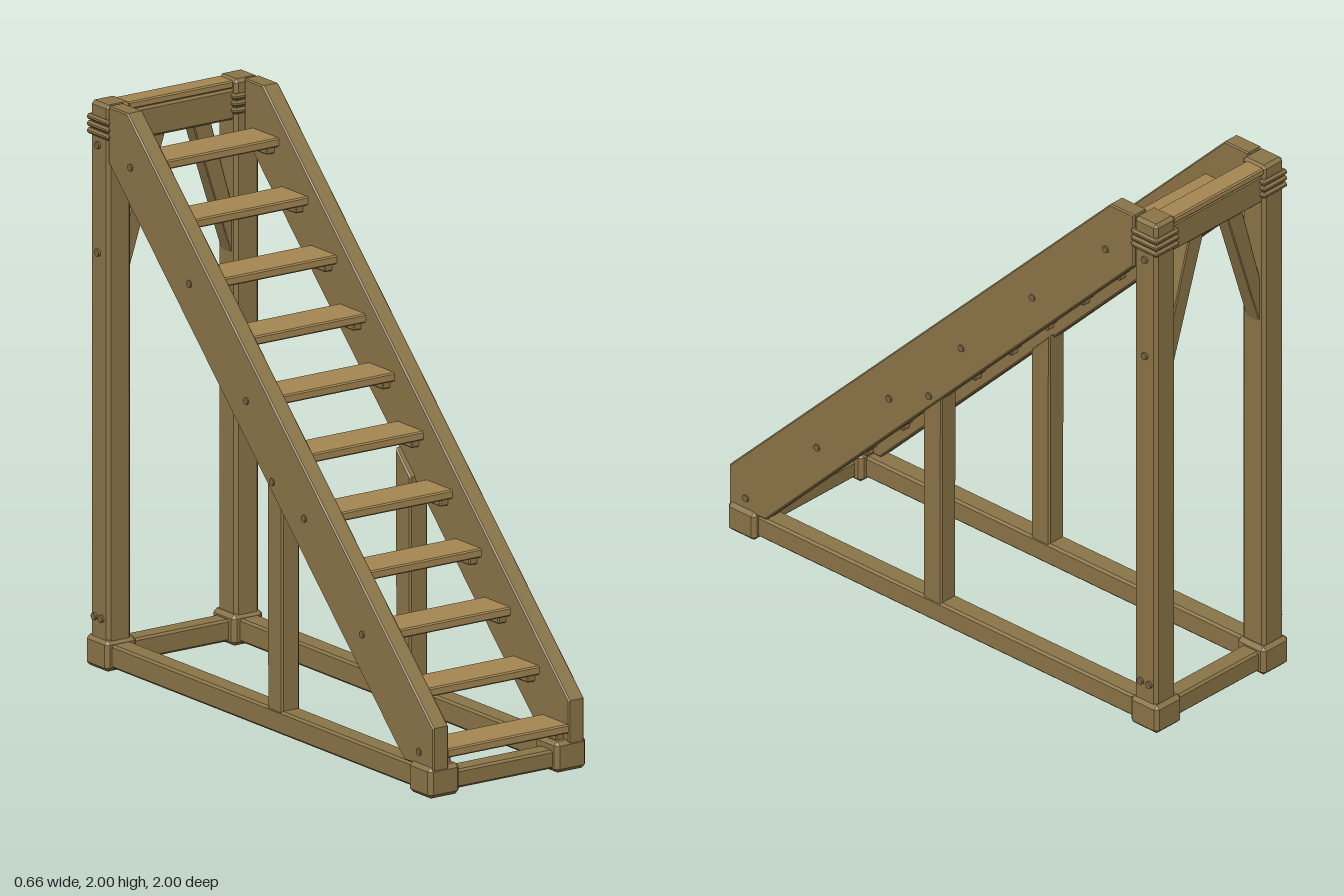
import * as THREE from 'three';
import { ConvexGeometry } from 'three/addons/geometries/ConvexGeometry.js';

// Box with all edges chamfered by c: each corner gives three points
function chamferBox(w, h, d, c) {
  const points = [];
  for (const sx of [-1, 1]) for (const sy of [-1, 1]) for (const sz of [-1, 1]) {
    const x = w / 2, y = h / 2, z = d / 2;
    points.push(
      new THREE.Vector3(sx * x, sy * (y - c), sz * (z - c)),
      new THREE.Vector3(sx * (x - c), sy * y, sz * (z - c)),
      new THREE.Vector3(sx * (x - c), sy * (y - c), sz * z));
  }
  return new ConvexGeometry(points);
}

// Bevelled slab from an outline, centred on its thickness
function slab(outline, thickness, bevel) {
  const shape = new THREE.Shape(outline.map(p => new THREE.Vector2(p[0], p[1])));
  const geometry = new THREE.ExtrudeGeometry(shape, {
    depth: thickness - 2 * bevel, bevelEnabled: true, bevelSegments: 1,
    bevelThickness: bevel, bevelSize: bevel, bevelOffset: -bevel });
  return geometry.translate(0, 0, -(thickness - 2 * bevel) / 2);
}

export function createModel() {
  const model = new THREE.Group();
  model.name = 'staircase';
  const frameWood = new THREE.MeshStandardMaterial({ color: 0x8b7548 });
  frameWood.name = 'frame wood';
  const treadWood = new THREE.MeshStandardMaterial({ color: 0xa58752 });
  treadWood.name = 'tread wood';
  const pegWood = new THREE.MeshStandardMaterial({ color: 0x7a6640 });
  pegWood.name = 'peg wood';

  function add(name, geometry, material, x = 0, y = 0, z = 0) {
    const mesh = new THREE.Mesh(geometry, material);
    mesh.name = name;
    mesh.position.set(x, y, z);
    model.add(mesh);
    return mesh;
  }
  // Chamfered box given by its limits
  function bar(name, x0, x1, y0, y1, z0, z1, c = 0.008, material = frameWood) {
    return add(name, chamferBox(x1 - x0, y1 - y0, z1 - z0, c), material,
      (x0 + x1) / 2, (y0 + y1) / 2, (z0 + z1) / 2);
  }
  // Side outlines are drawn in (z, y), then turned to face along x
  function sideSlab(name, outline, thickness, bevel, x) {
    const geometry = slab(outline, thickness, bevel).rotateY(-Math.PI / 2);
    return add(name, geometry, frameWood, x);
  }

  const stringer = [[0.83, 0.1], [-0.88, 1.8], [-0.88, 2], [-0.77, 2], [1, 0.25], [1, 0.1]].reverse();
  const strut = [[0.11, 0.08], [0.11, 0.83], [0.025, 0.915], [0.025, 0.08]].reverse();
  const kneeBrace = [[0.225, 1.36], [0.225, 1.54], [0.13, 1.87], [0.055, 1.87]].reverse();
  const stringerPegs = [[0.92, 0.15], [0.59, 0.485], [0.255, 0.815], [0.07, 0.9],
    [-0.08, 1.15], [-0.41, 1.485], [-0.75, 1.815]];
  const postPegs = [[-0.935, 1.85], [-0.935, 1.47], [-0.915, 0.18], [-0.955, 0.18]];
  const pegGeometry = new THREE.CylinderGeometry(0.013, 0.013, 0.02, 10).rotateZ(Math.PI / 2);

  for (const s of [-1, 1]) {
    const side = s > 0 ? 'left' : 'right';
    const sided = (name, x0, x1, ...rest) =>
      bar(side + name, s > 0 ? x0 : -x1, s > 0 ? x1 : -x0, ...rest);

    // Base blocks and floor rail
    sided('FrontBlock', 0.2, 0.33, 0, 0.11, 0.87, 1, 0.014);
    sided('BackBlock', 0.2, 0.33, 0, 0.11, -1, -0.87, 0.014);
    sided('FloorRail', 0.228, 0.308, 0.012, 0.095, -0.9, 0.9);

    // Rear post with three raised bands near the top
    sided('RearPost', 0.217, 0.318, 0.05, 2, -0.985, -0.88, 0.012);
    for (let i = 0; i < 3; i++) {
      const y = 1.88 + i * 0.025;
      sided('PostBand', 0.208, 0.327, y, y + 0.021, -0.995, -0.871, 0.007);
    }

    // Sloping stringer and the strut beneath it
    sideSlab(side + 'Stringer', stringer, 0.065, 0.005, s * 0.284);
    sideSlab(side + 'Strut', strut, 0.075, 0.006, s * 0.268);

    // Knee brace between post and top beam
    const brace = kneeBrace.map(p => [s * p[0], p[1]]);
    add(side + 'KneeBrace', slab(s > 0 ? brace : brace.reverse(), 0.06, 0.004), frameWood, 0, 0, -0.935);

    // Pegs on the outer faces
    for (const [z, y] of stringerPegs) add(side + 'StringerPeg', pegGeometry, pegWood, s * 0.312, y, z);
    for (const [z, y] of postPegs) add(side + 'PostPeg', pegGeometry, pegWood, s * 0.317, y, z);
  }

  // Cross rails at the floor
  bar('frontRail', -0.22, 0.22, 0.012, 0.078, 0.9, 0.975);
  bar('backRail', -0.22, 0.22, 0.012, 0.09, -0.975, -0.9);

  // Top beam and cover plank
  bar('topBeam', -0.225, 0.225, 1.855, 1.965, -0.975, -0.895);
  bar('topPlank', -0.225, 0.225, 1.965, 1.992, -0.98, -0.9, 0.005, treadWood);

  // Treads, each resting on a cleat at both ends
  for (let i = 0; i < 11; i++) {
    const y = 0.15 + i * 0.1672, z = 0.92 - i * 0.1675;
    bar('tread', -0.256, 0.256, y - 0.016, y + 0.016, z - 0.0775, z + 0.0775, 0.005, treadWood);
    for (const s of [-1, 1]) {
      bar('treadCleat', s * 0.239 - 0.019, s * 0.239 + 0.019, y - 0.046, y - 0.015,
        z - 0.06, z + 0.05, 0.004);
    }
  }
  return model;
}
